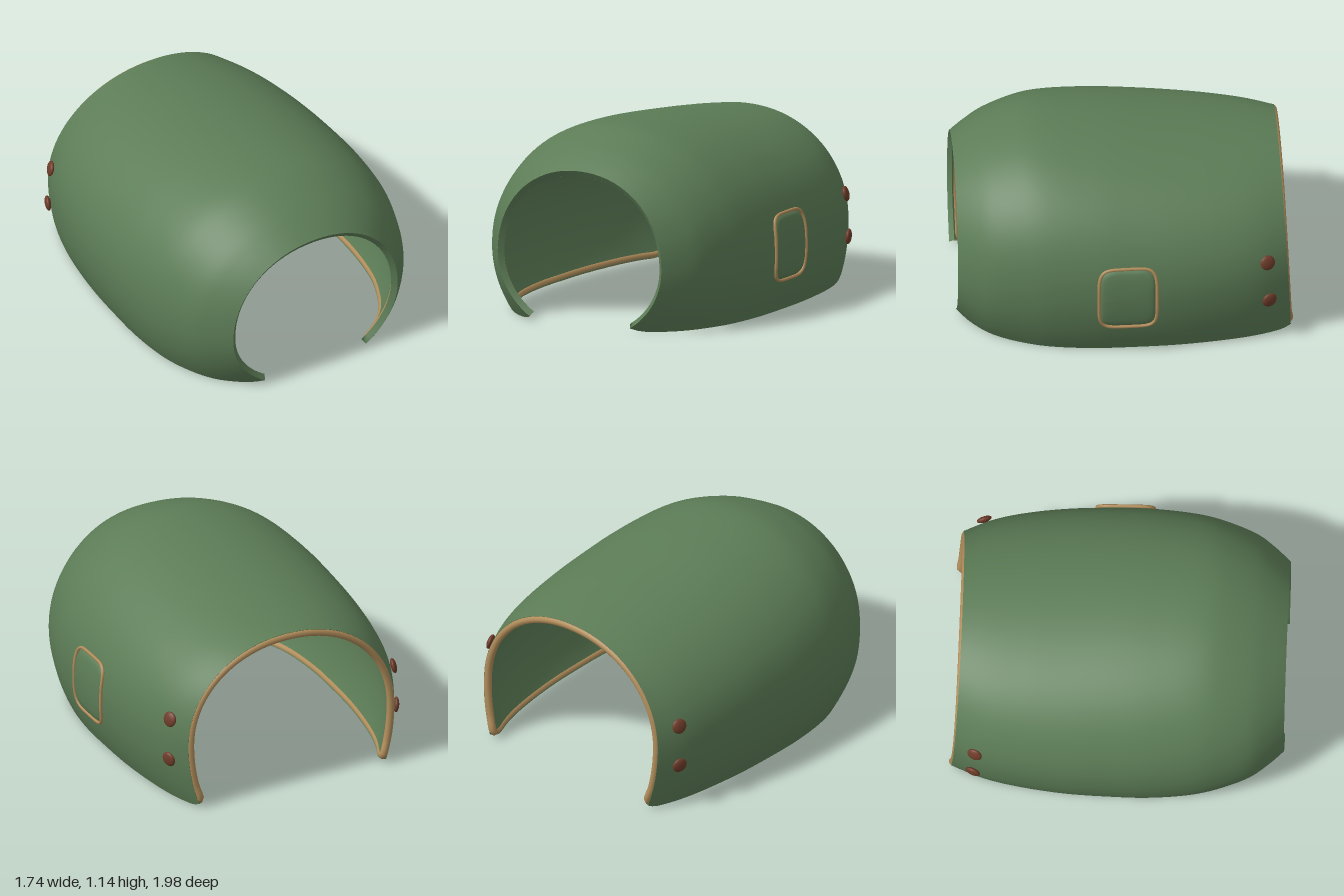
import * as THREE from 'three';

const mat = (name, color, side = THREE.FrontSide) => {
  const m = new THREE.MeshStandardMaterial({ color, side });
  m.name = name;
  return m;
};

// Profile knots: [z, half width, top height]
const PROFILE = [
  [-1, 0.672, 1.01], [-0.8, 0.758, 1.037], [-0.6, 0.808, 1.06], [-0.3, 0.848, 1.093],
  [0, 0.859, 1.125], [0.2, 0.857, 1.14], [0.45, 0.832, 1.147], [0.6, 0.797, 1.13],
  [0.8, 0.722, 1.06], [0.92, 0.635, 0.995], [1, 0.562, 0.943],
];
const MID = 0.4;      // height of the widest line
const THICK = 0.04;   // shell thickness
const Z_FRONT = 0.996, Z_BACK = -0.975;

// Smooth interpolation of one profile column
function profile(z, col) {
  let i = 0;
  while (i < PROFILE.length - 2 && z > PROFILE[i + 1][0]) i++;
  const slope = (k) => {
    const a = PROFILE[Math.max(0, k - 1)], b = PROFILE[Math.min(PROFILE.length - 1, k + 1)];
    return (b[col] - a[col]) / (b[0] - a[0]);
  };
  const p = PROFILE[i], q = PROFILE[i + 1], h = q[0] - p[0], t = (z - p[0]) / h;
  const t2 = t * t, t3 = t2 * t;
  return (2 * t3 - 3 * t2 + 1) * p[col] + (t3 - 2 * t2 + t) * h * slope(i)
    + (3 * t2 - 2 * t3) * q[col] + (t3 - t2) * h * slope(i + 1);
}
const lowerRadius = (z) => 0.88 - 0.42 * Math.pow(Math.max(0, z), 3);

// Outer surface: u from -1 to 1 around the arch, v from 0 (front) to 1 (back)
function outer(u, v) {
  const z = Z_FRONT + (Z_BACK - Z_FRONT) * v;
  const w = profile(z, 1), low = lowerRadius(z);
  const corner = Math.max(0, (Math.abs(v - 0.5) - 0.46) / 0.04);
  const floor = 0.008 + 0.025 * corner * corner;
  const a = u * Math.acos(-(MID - floor) / low);
  const s = Math.sin(a), c = Math.cos(a);
  const n = c > 0 ? 2 / 2.1 : 1;
  const y = MID + (c > 0 ? (profile(z, 2) - MID) * Math.pow(c, n) : low * c);
  const lean = Math.max(0, (-z - 0.5) / 0.475);
  return new THREE.Vector3(w * Math.sign(s) * Math.pow(Math.abs(s), n), y, z + 0.045 * y * lean);
}

// Point at a given depth under the outer surface
function shellPoint(u, v, depth) {
  const p = outer(u, v);
  if (!depth) return p;
  const e = 0.004;
  const du = outer(u + e, v).sub(outer(u - e, v));
  const dv = outer(u, Math.min(1, v + e)).sub(outer(u, Math.max(0, v - e)));
  return p.addScaledVector(du.cross(dv).normalize(), -depth);
}

// Grid surface from fn(s, t), both 0 to 1
function patch(nu, nv, fn, flip = false) {
  const pos = [], idx = [];
  for (let j = 0; j <= nv; j++)
    for (let i = 0; i <= nu; i++) pos.push(...fn(i / nu, j / nv).toArray());
  for (let j = 0; j < nv; j++)
    for (let i = 0; i < nu; i++) {
      const a = j * (nu + 1) + i, b = a + 1, c = a + nu + 1, d = c + 1;
      if (flip) idx.push(a, c, b, b, c, d);
      else idx.push(a, b, c, b, d, c);
    }
  const g = new THREE.BufferGeometry();
  g.setAttribute('position', new THREE.Float32BufferAttribute(pos, 3));
  g.setIndex(idx);
  g.computeVertexNormals();
  return g;
}

// Walk round the four edges of the sheet, t from 0 to 1
function edge(t, uIn = 0, frontIn = 0, backIn = 0) {
  const k = Math.min(3, Math.floor(t * 4)), f = t * 4 - k;
  const u1 = 1 - uIn, v0 = frontIn, v1 = 1 - backIn;
  if (k === 0) return [-u1 + 2 * u1 * f, v0];
  if (k === 1) return [u1, v0 + (v1 - v0) * f];
  if (k === 2) return [u1 - 2 * u1 * f, v1];
  return [-u1, v1 + (v0 - v1) * f];
}

// Side surface x at a given height and z, and its outward normal
function sideX(y, z) {
  const d = y - MID, w = profile(z, 1);
  if (d < 0) return w * Math.sqrt(1 - (d / lowerRadius(z)) ** 2);
  return w * Math.pow(1 - Math.pow(d / (profile(z, 2) - MID), 2.1), 1 / 2.1);
}
function sideNormal(y, z) {
  const e = 0.01;
  return new THREE.Vector3(1, -(sideX(y + e, z) - sideX(y - e, z)) / (2 * e),
    -(sideX(y, z + e) - sideX(y, z - e)) / (2 * e)).normalize();
}

export function createModel() {
  const green = mat('green cloth', 0x5c7c56, THREE.DoubleSide);
  const tan = mat('tan piping', 0xb08c5a);
  const brown = mat('brown button', 0x6e3c2a);
  const model = new THREE.Group();
  model.name = 'archedCover';
  const add = (name, geometry, material, parent = model) => {
    const m = new THREE.Mesh(geometry, material);
    m.name = name;
    parent.add(m);
    return m;
  };

  // Padded shell: outside, lining and the rim joining them
  const shell = new THREE.Group();
  shell.name = 'shell';
  model.add(shell);
  add('outerShell', patch(72, 60, (s, t) => shellPoint(s * 2 - 1, t, 0)), green, shell);
  add('lining', patch(72, 60, (s, t) => shellPoint(s * 2 - 1, t, THICK), true), green, shell);
  add('rim', patch(240, 1, (s, t) => shellPoint(...edge(s), t * THICK), true), green, shell);

  // Piping around the whole edge
  const loop = [];
  for (let i = 0; i < 128; i++) loop.push(shellPoint(...edge(i / 128, 0.012, 0.01, 0.002), 0.024));
  add('edgePiping', new THREE.TubeGeometry(new THREE.CatmullRomCurve3(loop, true), 320, 0.023, 10, true), tan);

  // Puffed pocket on the left side
  const pocketPoint = (angle, r, lift) => {
    const c = Math.cos(angle), s = Math.sin(angle), n = 2 / 5;
    const y = 0.415 + 0.198 * r * Math.sign(s) * Math.pow(Math.abs(s), n);
    const z = 0.005 + 0.172 * r * Math.sign(c) * Math.pow(Math.abs(c), n);
    return new THREE.Vector3(sideX(y, z), y, z).addScaledVector(sideNormal(y, z), lift);
  };
  add('pocket', patch(64, 12, (s, t) =>
    pocketPoint(s * Math.PI * 2, t, 0.018 * Math.sqrt(Math.max(0, 1 - Math.pow(t, 10))))), green);
  const outline = [];
  for (let i = 0; i < 48; i++) outline.push(pocketPoint((i + 0.5) / 48 * Math.PI * 2, 1, 0.012));
  add('pocketPiping', new THREE.TubeGeometry(new THREE.CatmullRomCurve3(outline, true), 160, 0.01, 8, true), tan);

  // Two buttons on each side near the back
  for (const side of [1, -1])
    for (const [y, z] of [[0.56, -0.825], [0.305, -0.835]]) {
      const n = sideNormal(y, z);
      const p = new THREE.Vector3(sideX(y, z), y, z).addScaledVector(n, 0.014);
      p.x *= side;
      n.x *= side;
      const button = add(side > 0 ? 'leftButton' : 'rightButton', new THREE.SphereGeometry(0.046, 24, 16), brown);
      button.scale.z = 0.4;
      button.position.copy(p);
      button.quaternion.setFromUnitVectors(new THREE.Vector3(0, 0, 1), n);
    }

  model.children.forEach((part) => { part.position.x -= 0.01; });
  return model;
}
